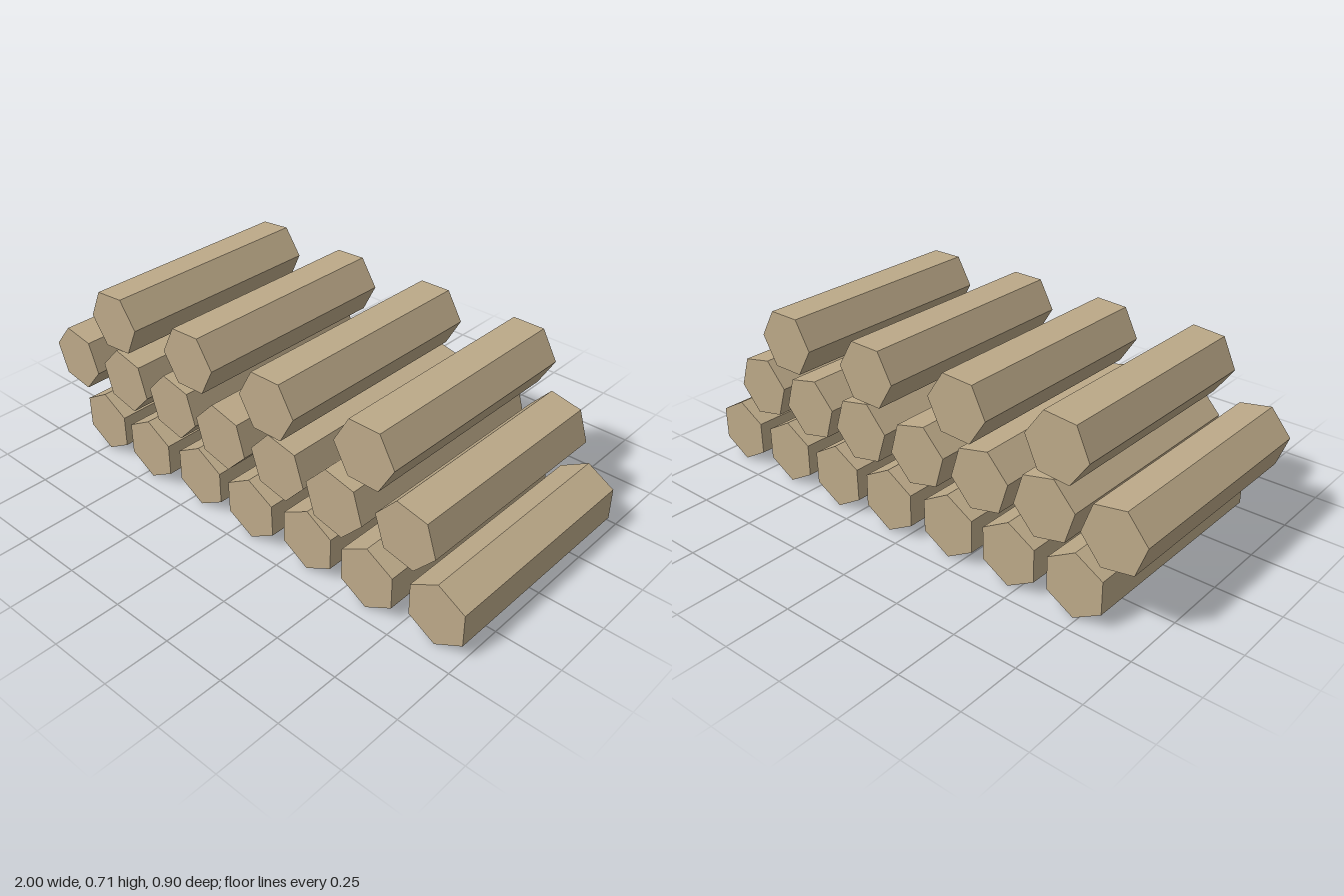
import * as THREE from 'three';

const RADIUS = 0.125;

// Each row: height, turn of the hexagon in degrees, and logs as [x, back z, front z, extra turn]
const ROWS = [
  { name: 'bottomLog', y: 0.133, turn: 0, logs: [
    [-0.735, -0.44, 0.44, 0], [-0.465, -0.44, 0.45, 0], [-0.198, -0.44, 0.44, 0], [0.075, -0.45, 0.45, 1],
    [0.34, -0.45, 0.44, -1], [0.615, -0.44, 0.45, 0], [0.888, -0.44, 0.43, 0]] },
  { name: 'middleLog', y: 0.368, turn: 17, logs: [
    [-0.877, -0.445, 0.445, 3], [-0.607, -0.44, 0.43, 0], [-0.34, -0.44, 0.43, 0], [-0.07, -0.45, 0.445, -1],
    [0.203, -0.45, 0.44, 1], [0.473, -0.445, 0.455, 0], [0.746, -0.435, 0.425, 1]] },
  { name: 'topLog', y: 0.6, turn: -27, logs: [
    [-0.65, -0.44, 0.425, 2], [-0.243, -0.44, 0.425, 0], [0.163, -0.45, 0.445, -2], [0.578, -0.445, 0.435, -3]] },
];

export function createModel() {
  const model = new THREE.Group();
  model.name = 'logPile';
  const wood = new THREE.MeshStandardMaterial({ color: 0xbca988, flatShading: true });
  wood.name = 'pale wood';

  // Hexagonal log lying along z, one corner pointing up
  const hexLog = new THREE.CylinderGeometry(RADIUS, RADIUS, 1, 6).rotateX(Math.PI / 2);

  for (const row of ROWS) {
    row.logs.forEach(([x, back, front, extra], i) => {
      const log = new THREE.Mesh(hexLog, wood);
      log.name = `${row.name}${i + 1}`;
      log.position.set(x, row.y, (back + front) / 2);
      log.rotation.z = THREE.MathUtils.degToRad(row.turn + extra);
      log.scale.z = front - back;
      model.add(log);
    });
  }
  return model;
}
